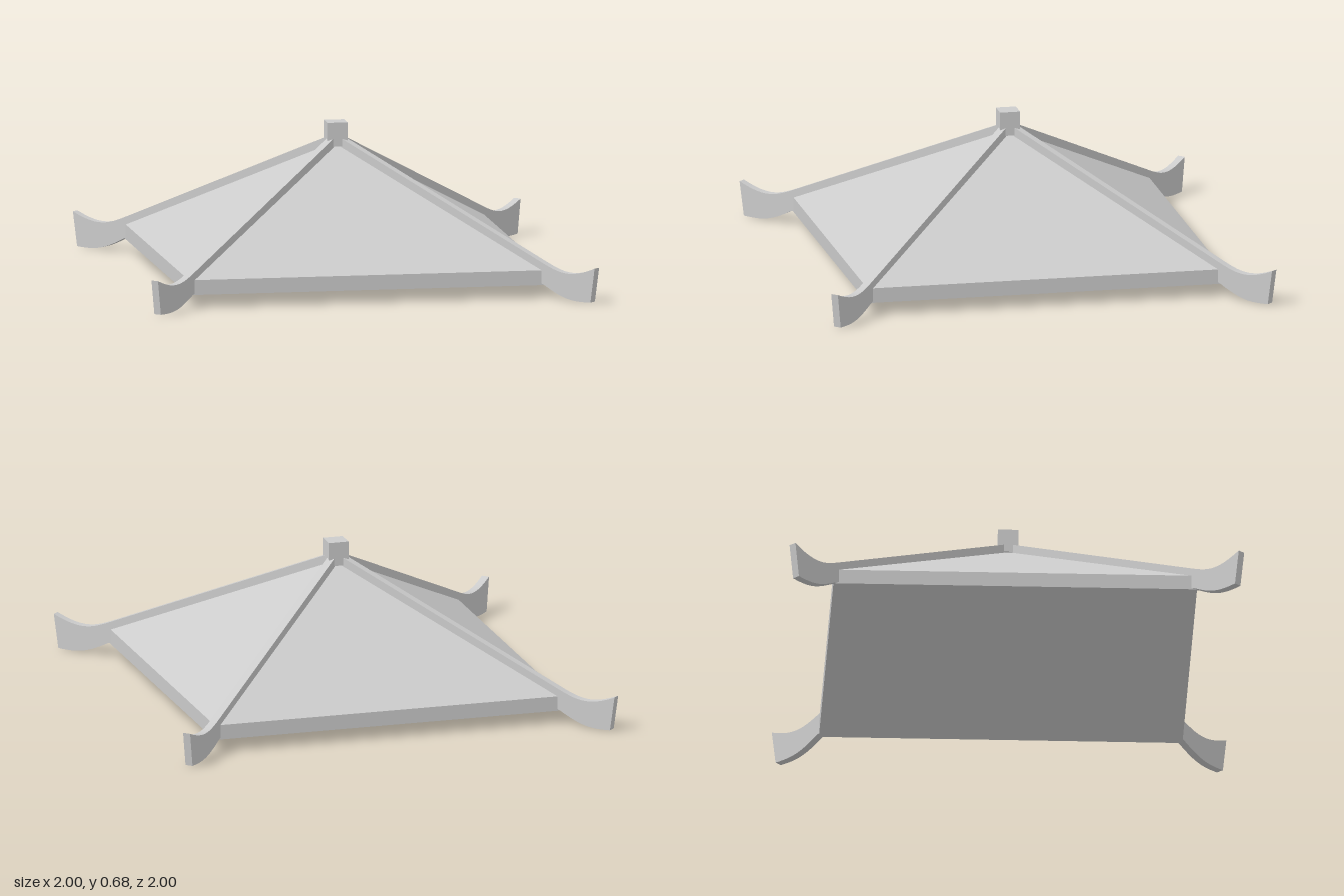
import * as THREE from 'three';
import { toCreasedNormals } from 'three/addons/utils/BufferGeometryUtils.js';

const D = Math.SQRT2; // distance along the diagonal per unit of x

// Hip rib outline in the diagonal plane: straight along the hip, flicked up at the tip
function ribGeometry() {
  const s = new THREE.Shape();
  s.moveTo(0.03 * D, 0.612);
  s.lineTo(0.78 * D, 0.163);
  s.bezierCurveTo(0.85 * D, 0.121, 0.89 * D, 0.096, 0.988 * D, 0.156);
  s.lineTo(0.972 * D, 0.003);
  s.bezierCurveTo(0.9 * D, -0.004, 0.87 * D, 0.005, 0.8 * D, 0.057);
  s.lineTo(0.03 * D, 0.515);
  s.closePath();
  const width = 0.035;
  const g = new THREE.ExtrudeGeometry(s, { depth: width, bevelEnabled: false, curveSegments: 12 });
  g.translate(0, 0, -width / 2);
  return toCreasedNormals(g, Math.PI / 6);
}

export function createModel() {
  const model = new THREE.Group();
  const material = new THREE.MeshStandardMaterial({ color: 0xcccccc });
  const flat = new THREE.MeshStandardMaterial({ color: 0xcccccc, flatShading: true });

  const add = (name, geometry, mat) => {
    const mesh = new THREE.Mesh(geometry, mat);
    mesh.name = name;
    model.add(mesh);
    return mesh;
  };

  // Square pyramid roof shell: short eave edge, underside parallel to the slopes
  const profile = [[0, 0.532], [0.8 * D, 0.057], [0.8 * D, 0.123], [0, 0.598]]
    .map(([r, y]) => new THREE.Vector2(r, y));
  const roof = new THREE.LatheGeometry(profile, 4, Math.PI / 4).toNonIndexed();
  roof.computeVertexNormals();
  add('roof', roof, flat);

  // Four ribs along the hips
  const rib = ribGeometry();
  for (let i = 0; i < 4; i++) {
    add('hipRib' + (i + 1), rib, material).rotation.y = Math.PI / 4 + i * Math.PI / 2;
  }

  // Square block at the peak
  add('finial', new THREE.BoxGeometry(0.09, 0.107, 0.09), material).position.y = 0.63;

  return model;
}
